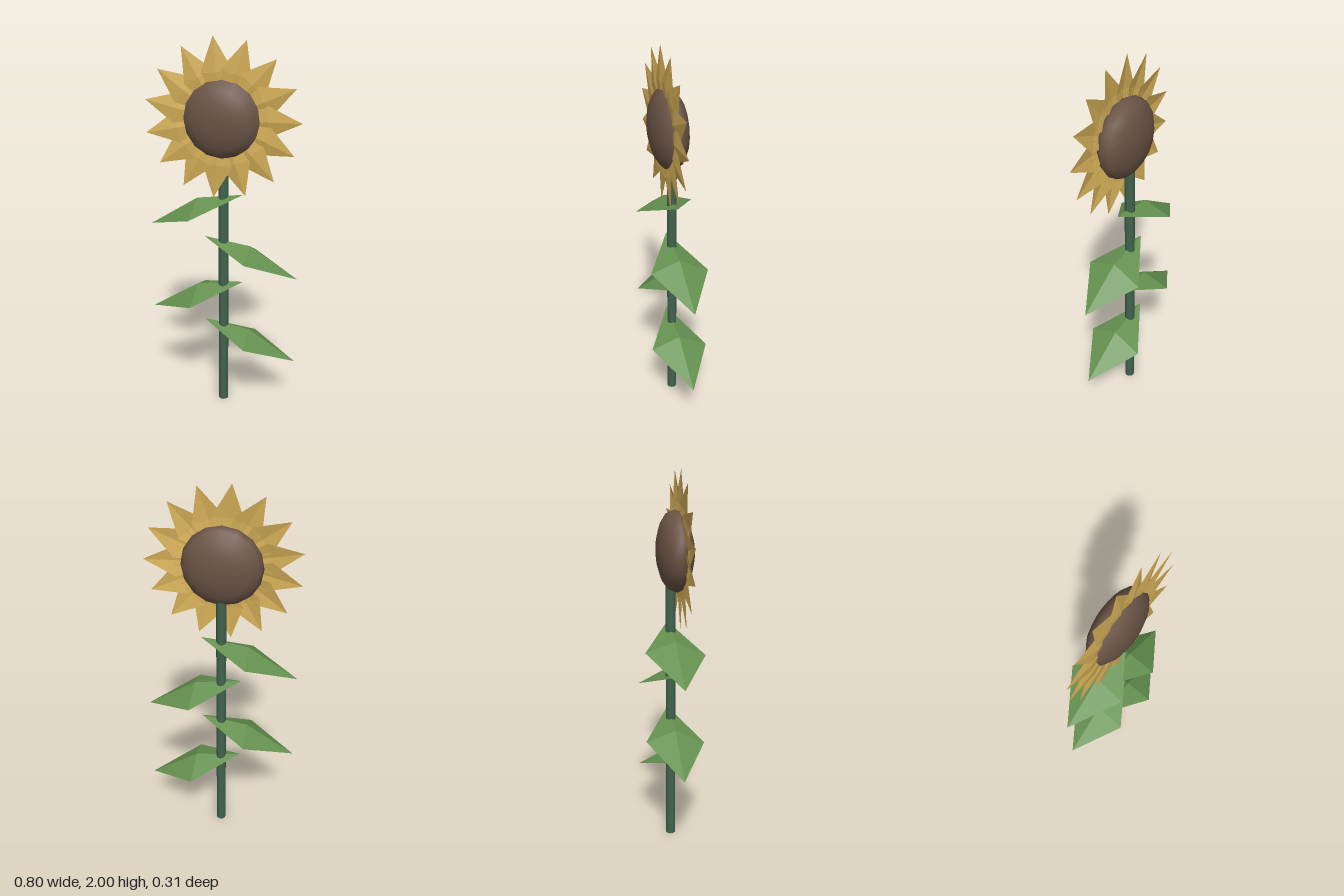
import * as THREE from 'three';

const mat = (name, color, extra = {}) => {
  const m = new THREE.MeshStandardMaterial({ color, ...extra });
  m.name = name;
  return m;
};

// Shallow open four-sided blade: a diamond outline folded up to one raised point.
function bladeGeometry(base, tip, sideA, sideB, peak) {
  const ring = [base, sideA, tip, sideB];
  const pos = [];
  ring.forEach((p, i) => pos.push(...p, ...ring[(i + 1) % 4], ...peak));
  const g = new THREE.BufferGeometry();
  g.setAttribute('position', new THREE.Float32BufferAttribute(pos, 3));
  g.computeVertexNormals();
  return g;
}

export function createModel() {
  const stemGreen = mat('stem green', 0x41644e);
  const leafGreen = mat('leaf green', 0x659150, { side: THREE.DoubleSide, flatShading: true });
  const petalYellow = mat('petal yellow', 0xd3ae57, { side: THREE.DoubleSide, flatShading: true });
  const seedBrown = mat('seed brown', 0x6b5446);

  const model = new THREE.Group();
  model.name = 'flower';
  const add = (name, geometry, material, parent = model) => {
    const mesh = new THREE.Mesh(geometry, material);
    mesh.name = name;
    parent.add(mesh);
    return mesh;
  };

  // Stem, ending inside the seed head
  add('stem', new THREE.CylinderGeometry(0.026, 0.026, 1.55, 10), stemGreen).position.y = 0.775;

  // Four leaves alternating left and right, with a slight twist
  const leaf = bladeGeometry(
    [0.105, 0, 0], [-0.397, -0.197, 0],
    [-0.145, -0.085, -0.153], [-0.145, -0.113, 0.153],
    [-0.142, -0.035, 0]
  );
  leaf.index || leaf.computeVertexNormals();
  for (let i = 0; i < 4; i++) {
    const m = add('leaf' + (i + 1), leaf, leafGreen);
    m.position.y = 1.216 - i * 0.243;
    m.rotation.y = i % 2 ? Math.PI : 0;
  }

  // Flower head
  const head = new THREE.Group();
  head.name = 'flowerHead';
  head.position.y = 1.603;
  model.add(head);

  // Flattened seed disc with its poles facing front and back
  const disc = new THREE.SphereGeometry(1, 16, 8).rotateX(Math.PI / 2);
  const seeds = add('seedHead', disc, seedBrown, head);
  seeds.scale.set(0.205, 0.205, 0.092);
  seeds.position.z = 0.021;

  // Ring of fifteen overlapping petals
  const petal = bladeGeometry(
    [0.06, 0, 0.042], [0.4, 0, 0.043],
    [0.23, -0.08, 0.035], [0.23, 0.08, 0.047],
    [0.23, 0, 0.053]
  );
  for (let i = 0; i < 15; i++) {
    add('petal' + (i + 1), petal, petalYellow, head).rotation.z = (i / 15) * Math.PI * 2;
  }
  // Winding: reverse the blades whose faces would otherwise point down
  const p = leaf.attributes.position;
  const n = leaf.attributes.normal;
  if (n.getY(0) < 0) {
    for (let i = 0; i < p.count; i += 3) {
      const a = new THREE.Vector3().fromBufferAttribute(p, i);
      const b = new THREE.Vector3().fromBufferAttribute(p, i + 1);
      p.setXYZ(i, b.x, b.y, b.z);
      p.setXYZ(i + 1, a.x, a.y, a.z);
    }
    leaf.computeVertexNormals();
  }
  return model;
}
